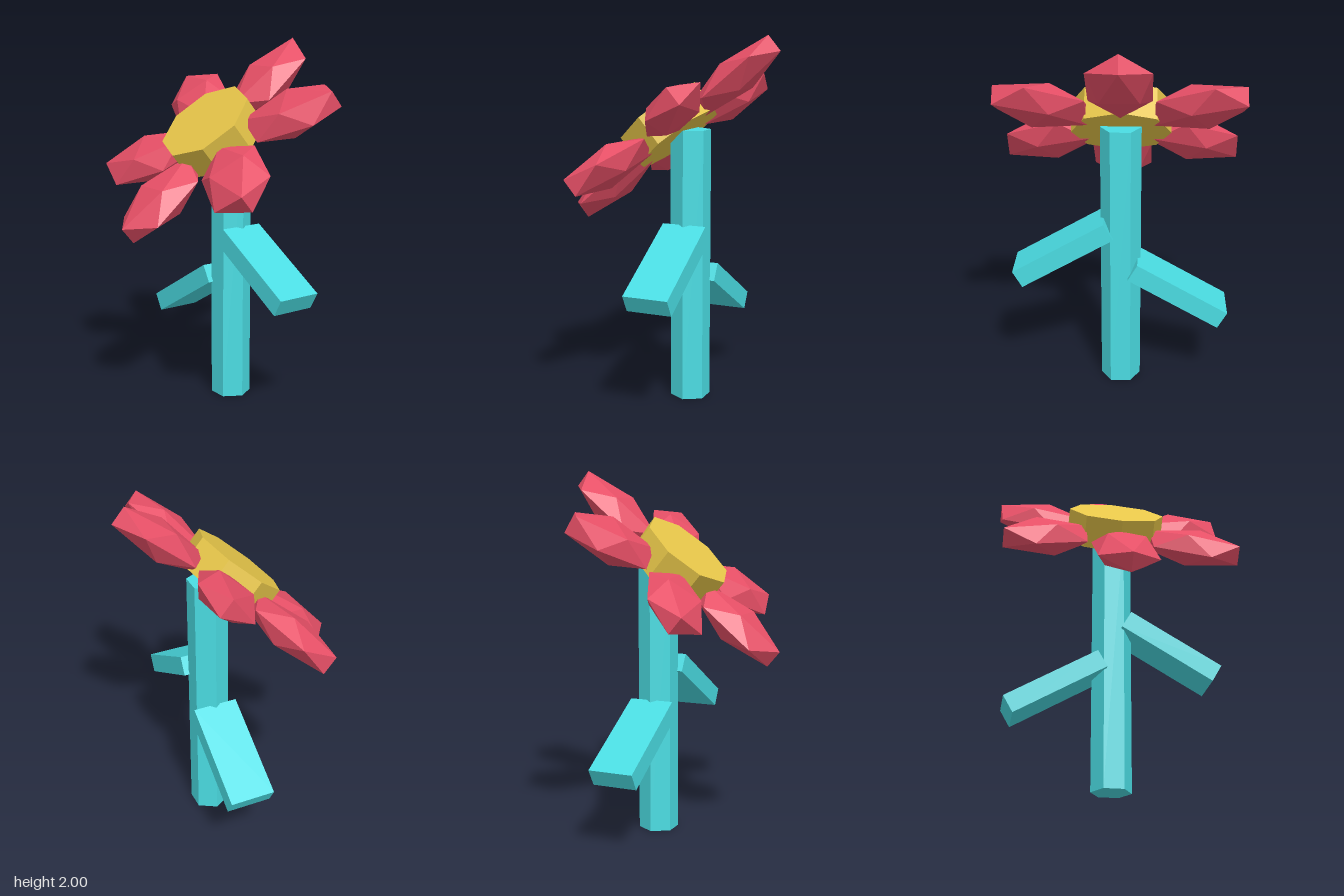
import * as THREE from 'three';

export function createModel() {
  const model = new THREE.Group();
  model.name = 'flower';

  const mat = (name, color) => {
    const m = new THREE.MeshStandardMaterial({ color, flatShading: true });
    m.name = name;
    return m;
  };
  const teal = mat('teal', 0x4adce2);
  const red = mat('rose red', 0xe64f66);
  const yellow = mat('yellow', 0xe6c549);

  const add = (parent, name, geometry, material, x = 0, y = 0, z = 0) => {
    const mesh = new THREE.Mesh(geometry, material);
    mesh.name = name;
    mesh.position.set(x, y, z);
    parent.add(mesh);
    return mesh;
  };

  // Hexagonal stem with corners pointing sideways
  const stemZ = -0.105;
  const stemGeo = new THREE.CylinderGeometry(0.11, 0.11, 1.5, 6).rotateY(Math.PI / 6);
  add(model, 'stem', stemGeo, teal, 0, 0.75, stemZ);

  // Two slab leaves drooping from the stem at different heights
  const leafGeo = new THREE.BoxGeometry(0.575, 0.105, 0.25);
  add(model, 'leftLeaf', leafGeo, teal, 0.315, 0.8, stemZ).rotation.z = -Math.PI / 6;
  add(model, 'rightLeaf', leafGeo, teal, -0.315, 0.56, stemZ).rotation.z = Math.PI / 6;

  // Flower head, built facing +z and tilted upwards
  const head = new THREE.Group();
  head.name = 'flowerHead';
  head.position.set(0, 1.485, 0);
  head.rotation.x = THREE.MathUtils.degToRad(-50);
  model.add(head);

  // Octagonal centre disc
  const discGeo = new THREE.CylinderGeometry(0.268, 0.268, 0.175, 8).rotateX(Math.PI / 2);
  add(head, 'centreDisc', discGeo, yellow, 0, 0, 0.0355);

  // Six petals: stretched icosahedra in a ring
  const petalGeo = new THREE.IcosahedronGeometry(1, 0).scale(0.316, 0.194, 0.101);
  for (let i = 0; i < 6; i++) {
    const a = Math.PI / 2 + (i * Math.PI) / 3;
    const petal = add(head, `petal${i + 1}`, petalGeo, red, 0.473 * Math.cos(a), 0.473 * Math.sin(a), 0);
    petal.rotation.z = a;
  }

  return model;
}
